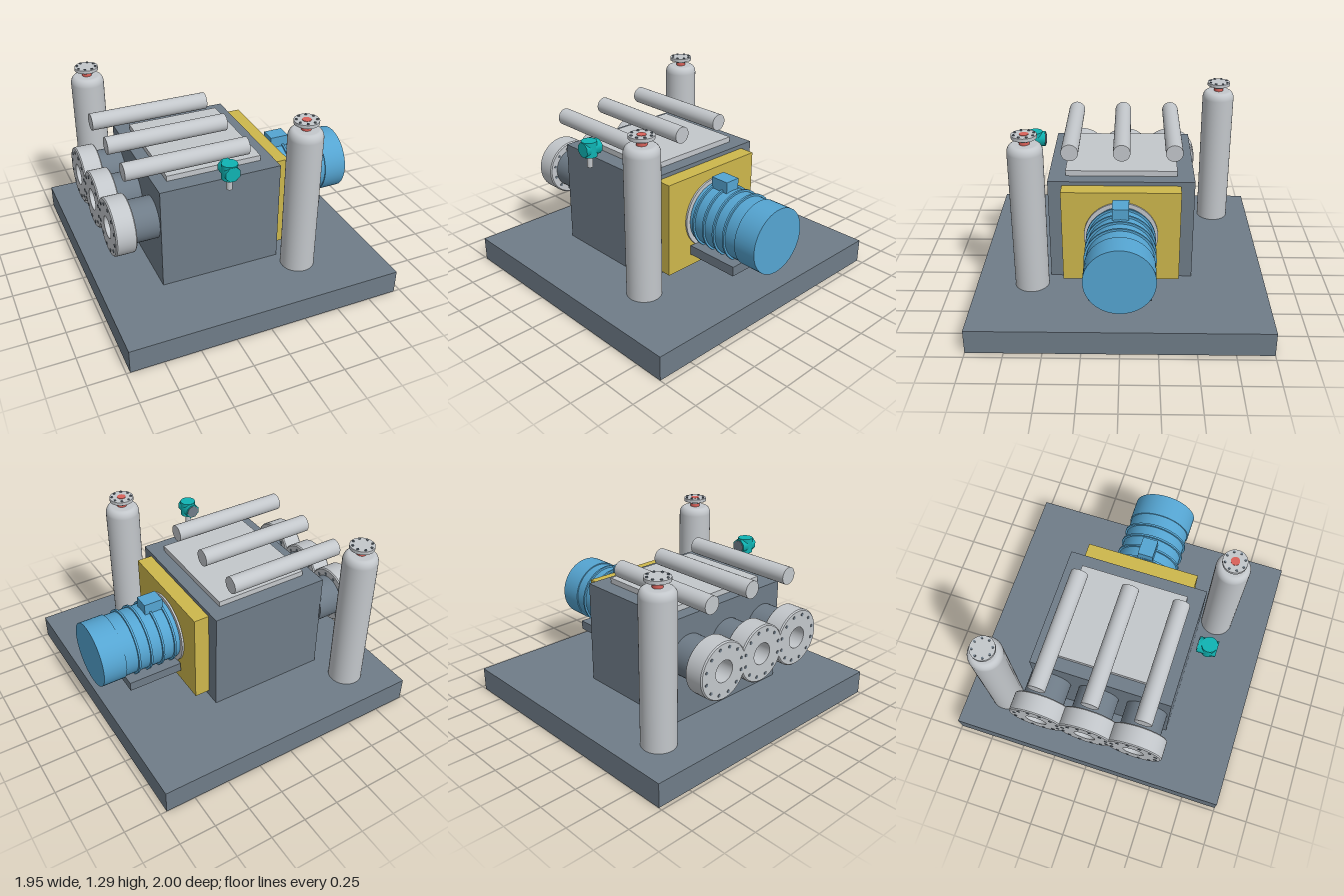
import * as THREE from 'three';

const paint = (name, color) => {
  const m = new THREE.MeshStandardMaterial({ color });
  m.name = name;
  return m;
};

export function createModel() {
  const slate = paint('slate', 0x6f7c88);
  const silver = paint('silver', 0xc3c7cb);
  const blue = paint('motor blue', 0x55a5d2);
  const yellow = paint('guard yellow', 0xcdb74c);
  const teal = paint('sensor teal', 0x0fb3b3);
  const red = paint('neck red', 0xd9625a);

  const root = new THREE.Group();
  root.name = 'pumpSkid';

  const group = (name, x, y, z) => {
    const g = new THREE.Group();
    g.name = name;
    g.position.set(x, y, z);
    root.add(g);
    return g;
  };
  const add = (parent, name, geo, mat) => {
    const m = new THREE.Mesh(geo, mat);
    m.name = name;
    parent.add(m);
    return m;
  };
  // Box given by its minimum and maximum on each axis
  const box = (name, mat, [x0, x1], [y0, y1], [z0, z1]) => {
    const m = add(root, name, new THREE.BoxGeometry(x1 - x0, y1 - y0, z1 - z0), mat);
    m.position.set((x0 + x1) / 2, (y0 + y1) / 2, (z0 + z1) / 2);
  };
  // Cylinder between two coordinates along an axis of its parent
  const rod = (parent, name, mat, axis, r, a, b, seg = 40) => {
    const geo = new THREE.CylinderGeometry(r, r, b - a, seg);
    if (axis === 'x') geo.rotateZ(-Math.PI / 2);
    if (axis === 'z') geo.rotateX(Math.PI / 2);
    const m = add(parent, name, geo, mat);
    m.position[axis] = (a + b) / 2;
    return m;
  };
  // Ring of bolts around an axis
  const bolts = (parent, axis, count, ring, r, a, b) => {
    for (let i = 0; i < count; i++) {
      const t = ((i + 0.5) / count) * Math.PI * 2;
      const m = rod(parent, 'bolt', slate, axis, r, a, b, 8);
      m.position[axis === 'x' ? 'y' : 'x'] = Math.cos(t) * ring;
      m.position.z = Math.sin(t) * ring;
    }
  };

  // Base, gearbox housing, lid and guard
  box('basePlate', slate, [-0.975, 0.955], [0, 0.17], [-1, 1]);
  box('housing', slate, [-0.565, 0.285], [0.17, 0.905], [-0.495, 0.495]);
  box('housingLid', silver, [-0.475, 0.192], [0.905, 0.943], [-0.38, 0.38]);
  box('guard', yellow, [0.285, 0.392], [0.21, 0.877], [-0.4, 0.4]);

  // Motor with cooling rings, end cover, terminal box and foot
  const motor = group('motor', 0, 0.558, 0);
  rod(motor, 'motorFlange', silver, 'x', 0.25, 0.392, 0.405, 48);
  rod(motor, 'motorBody', blue, 'x', 0.22, 0.405, 0.815, 48);
  rod(motor, 'motorEndCover', blue, 'x', 0.228, 0.81, 0.975, 48);
  for (const x of [0.445, 0.535, 0.625, 0.715]) {
    rod(motor, 'coolingRing', blue, 'x', 0.234, x - 0.007, x + 0.007, 48);
  }
  box('terminalBox', blue, [0.44, 0.575], [0.75, 0.85], [-0.055, 0.055]);
  box('motorFoot', slate, [0.4, 0.79], [0.302, 0.37], [-0.207, 0.207]);

  // Overhead pipes
  for (const z of [-0.362, 0, 0.358]) {
    rod(group('overheadPipe', 0, 1.03, z), 'pipe', silver, 'x', 0.06, -0.757, 0.097);
  }

  // Side ports: neck and thick bored flange
  const flangeProfile = [
    [0.075, 0], [0.19, 0], [0.19, 0], [0.198, 0.008], [0.198, 0.008],
    [0.198, 0.132], [0.198, 0.132], [0.19, 0.14], [0.19, 0.14], [0.075, 0.14],
    [0.075, 0.14], [0.075, 0],
  ].map(([r, h]) => new THREE.Vector2(r, h));
  for (const z of [-0.366, -0.016, 0.334]) {
    const port = group('sidePort', 0, 0.63, z);
    rod(port, 'portNeck', slate, 'x', 0.145, -0.737, -0.56);
    rod(port, 'boreFloor', silver, 'x', 0.076, -0.742, -0.736);
    const flange = add(port, 'portFlange', new THREE.LatheGeometry(flangeProfile, 48), silver);
    flange.rotation.z = -Math.PI / 2;
    flange.position.x = -0.875;
    bolts(port, 'x', 12, 0.16, 0.011, -0.879, -0.731);
  }

  // Standing vessels with rounded shoulder and flanged red neck
  const shoulder = [[0, 0.17], [0.117, 0.17], [0.117, 0.17], [0.117, 1.165]];
  for (let i = 1; i <= 6; i++) {
    const t = (i / 6) * Math.PI / 2;
    shoulder.push([0.08 + 0.037 * Math.cos(t), 1.165 + 0.055 * Math.sin(t)]);
  }
  shoulder.push([0, 1.22]);
  const vesselGeo = new THREE.LatheGeometry(shoulder.map(([r, y]) => new THREE.Vector2(r, y)), 48);
  for (const [x, z, open] of [[0.384, 0.617, true], [-0.667, -0.72, false]]) {
    const vessel = group('vessel', x, 0, z);
    add(vessel, 'vesselShell', vesselGeo, silver);
    rod(vessel, 'vesselNeck', red, 'y', 0.034, 1.215, 1.262);
    rod(vessel, 'neckCollar', silver, 'y', 0.046, 1.246, 1.266);
    rod(vessel, 'vesselFlange', silver, 'y', 0.083, 1.263, 1.286);
    bolts(vessel, 'y', 8, 0.066, 0.008, 1.256, 1.293);
    if (open) rod(vessel, 'neckTop', red, 'y', 0.03, 1.28, 1.289);
  }

  // Pressure sensor: crossed housings, rear dial and stem
  const sensor = group('sensor', -0.143, 1.038, 0.615);
  rod(sensor, 'sensorBody', teal, 'y', 0.053, -0.053, 0.053, 24);
  rod(sensor, 'sensorHead', teal, 'z', 0.053, -0.072, 0.055, 8).rotation.z = Math.PI / 8;
  rod(sensor, 'sensorDial', slate, 'z', 0.043, -0.077, -0.07, 24);
  rod(sensor, 'sensorStem', silver, 'y', 0.02, -0.133, -0.05, 20);

  return root;
}
